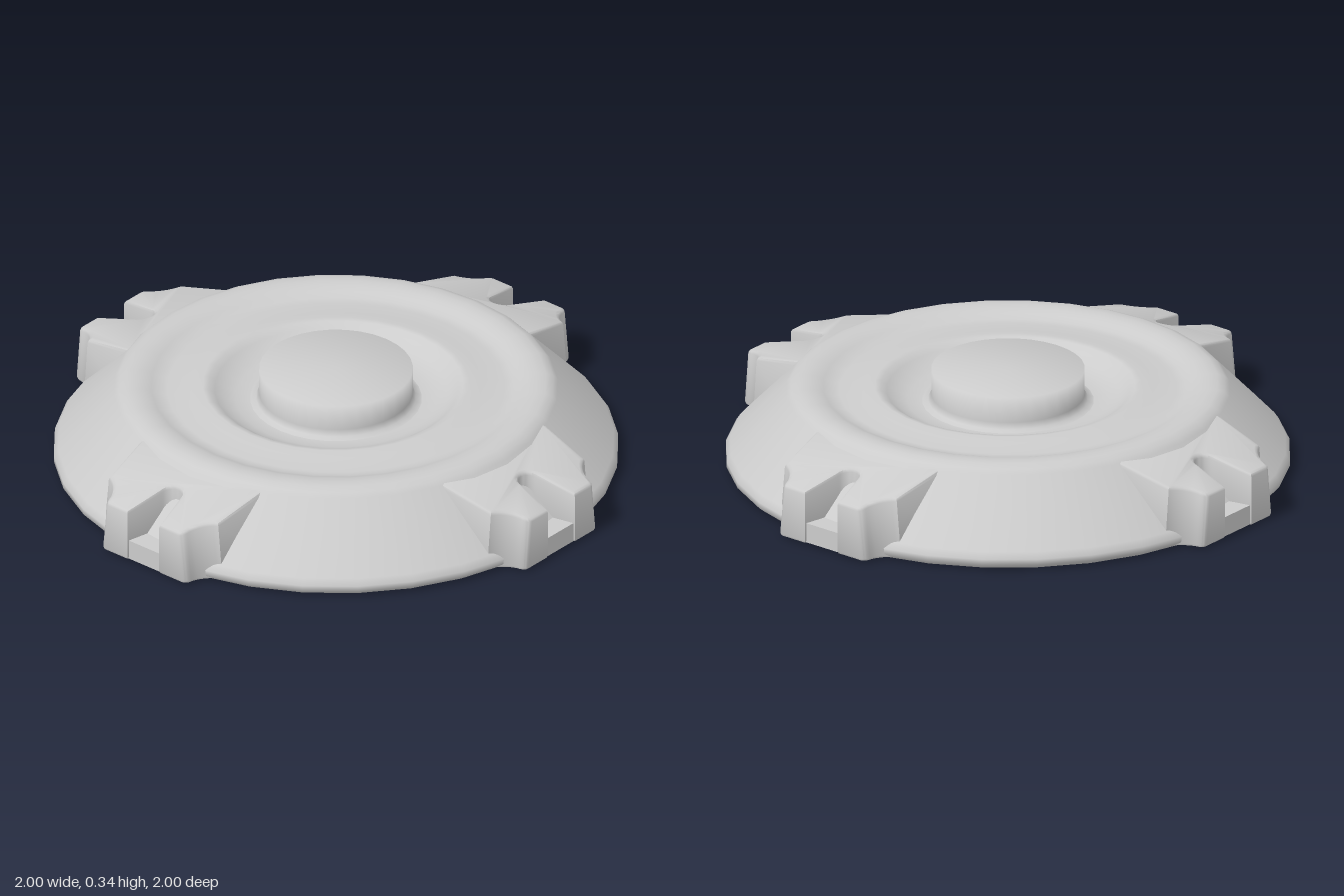
import * as THREE from 'three';
import { toCreasedNormals } from 'three/addons/utils/BufferGeometryUtils.js';

const material = new THREE.MeshStandardMaterial({ color: 0xcccccc });

function lathe(name, profile) {
  const points = profile.map(([r, y]) => new THREE.Vector2(r, y));
  const mesh = new THREE.Mesh(new THREE.LatheGeometry(points, 32), material);
  mesh.name = name;
  return mesh;
}

// Plan of a lug: flared root, rounded tip corners and a tapered slot
function lugShape() {
  const s = new THREE.Shape();
  s.moveTo(-0.29, 0.68);
  s.lineTo(0.29, 0.68);
  s.lineTo(0.262, 0.895);
  s.quadraticCurveTo(0.215, 0.915, 0.195, 0.965);
  s.quadraticCurveTo(0.19, 1, 0.17, 1);
  s.lineTo(0.07, 1);
  s.lineTo(0.04, 0.86);
  s.absarc(0, 0.86, 0.04, 0, Math.PI, true);
  s.lineTo(-0.07, 1);
  s.lineTo(-0.17, 1);
  s.quadraticCurveTo(-0.19, 1, -0.195, 0.965);
  s.quadraticCurveTo(-0.215, 0.915, -0.262, 0.895);
  s.closePath();
  return s;
}

function lugGeometry() {
  const depth = 0.2, bevel = 0.012, base = 0.005;
  const geo = new THREE.ExtrudeGeometry(lugShape(), {
    depth, curveSegments: 6, bevelEnabled: true, bevelThickness: bevel,
    bevelSize: bevel, bevelOffset: -bevel, bevelSegments: 2,
  });
  geo.rotateX(-Math.PI / 2);
  // The top slopes down to the tip, and the flanks lean in as they rise
  const p = geo.attributes.position;
  for (let i = 0; i < p.count; i++) {
    const x = p.getX(i), r = -p.getZ(i);
    const t = (p.getY(i) + bevel) / (depth + 2 * bevel);
    const top = 0.195 + 0.24 * (1 - r);
    p.setY(i, base + t * (top - base));
    if (Math.abs(x) > 0.12) p.setX(i, x - Math.sign(x) * 0.02 * t);
  }
  return toCreasedNormals(geo, 0.7);
}

export function createModel() {
  const model = new THREE.Group();
  model.name = 'roundPlate';

  // Main disc: flat underside, sloping flank, shallow groove and centre recess
  model.add(lathe('disc', [
    [0, 0], [0.92, 0], [0.935, 0.003], [0.955, 0.02], [0.955, 0.04],
    [0.94, 0.062], [0.75, 0.264], [0.735, 0.279], [0.71, 0.289],
    [0.68, 0.29], [0.65, 0.287], [0.625, 0.277], [0.6, 0.267],
    [0.57, 0.264], [0.49, 0.272], [0.45, 0.279], [0.43, 0.276],
    [0.41, 0.262], [0.38, 0.242], [0.34, 0.228], [0.29, 0.222], [0, 0.222],
  ]));

  // Central button
  model.add(lathe('centreButton', [
    [0.29, 0.223], [0.27, 0.229], [0.26, 0.25], [0.26, 0.34], [0, 0.34],
  ]));

  // Four slotted lugs around the rim
  const lugGeo = lugGeometry();
  const floorGeo = new THREE.BoxGeometry(0.15, 0.07, 0.18);
  for (let i = 0; i < 4; i++) {
    const lug = new THREE.Group();
    lug.name = 'lug' + (i + 1);
    const body = new THREE.Mesh(lugGeo, material);
    body.name = 'lugBody';
    const floor = new THREE.Mesh(floorGeo, material);
    floor.name = 'slotFloor';
    floor.position.set(0, 0.045, -0.905);
    lug.add(body, floor);
    lug.rotation.y = i * Math.PI / 2;
    model.add(lug);
  }
  return model;
}
